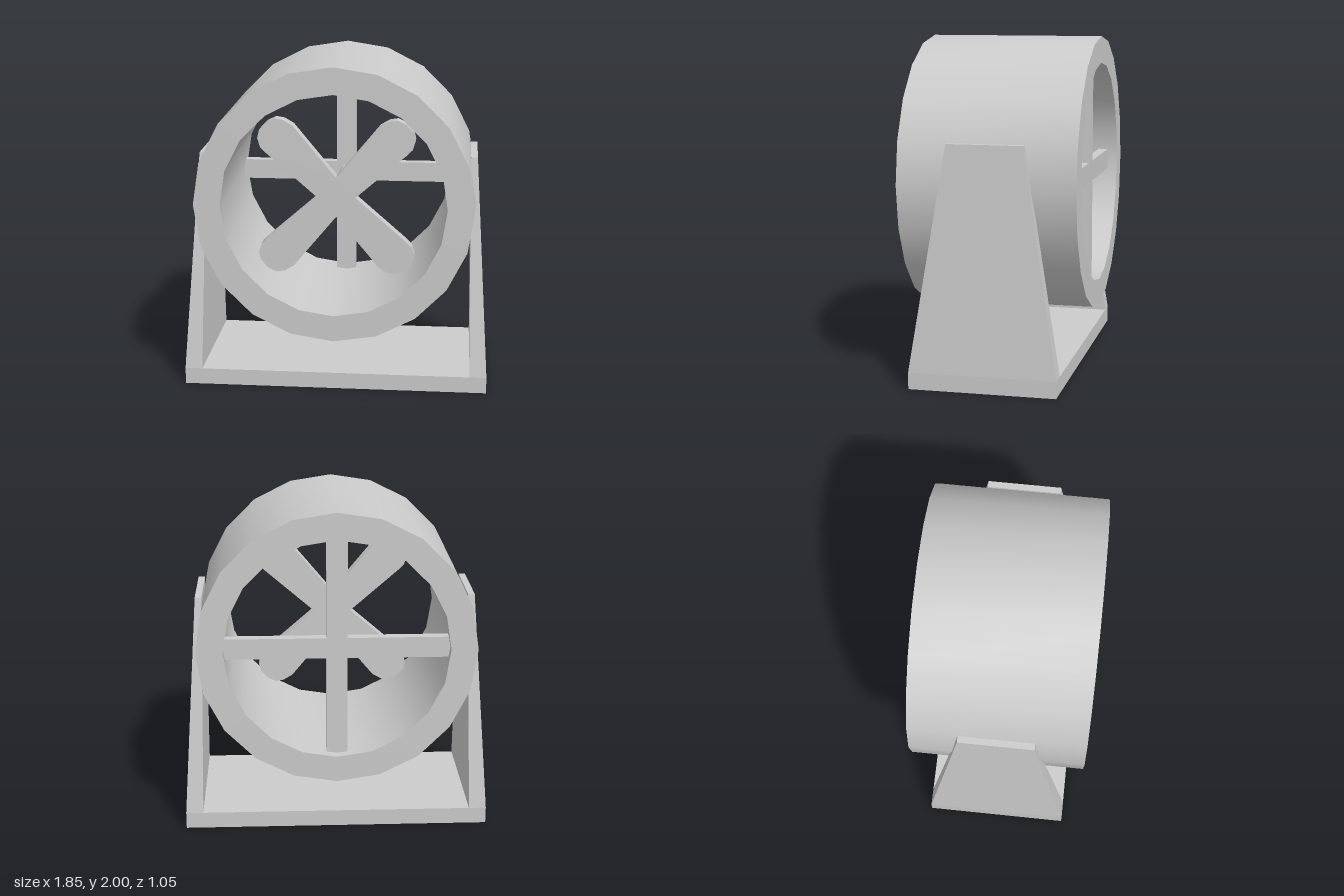
import * as THREE from 'three';
import { toCreasedNormals } from 'three/addons/utils/BufferGeometryUtils.js';

const material = new THREE.MeshStandardMaterial({ color: 0xcccccc });
const AXIS_Y = 1.17;

function addMesh(parent, name, geometry, crease = 0.5) {
  const mesh = new THREE.Mesh(toCreasedNormals(geometry, crease), material);
  mesh.name = name;
  parent.add(mesh);
  return mesh;
}

// Box whose vertices are moved by a rule
function shapedBox(rule) {
  const geometry = new THREE.BoxGeometry(1, 1, 1);
  const pos = geometry.attributes.position;
  for (let i = 0; i < pos.count; i++) {
    pos.setXYZ(i, ...rule(pos.getX(i), pos.getY(i), pos.getZ(i)));
  }
  return geometry;
}

// Extrude an outline and place its back at z
function plate(points, depth, z) {
  const shape = new THREE.Shape(points);
  const geometry = new THREE.ExtrudeGeometry(shape, { depth, bevelEnabled: false });
  return geometry.translate(0, 0, z);
}

export function createModel() {
  const model = new THREE.Group();
  model.name = 'fan';

  // Base slab and the two tapered side supports
  const base = addMesh(model, 'base', new THREE.BoxGeometry(1.85, 0.1, 0.87));
  base.position.y = 0.05;
  for (const side of [1, -1]) {
    const support = shapedBox((x, y, z) => {
      const top = y > 0;
      const outward = x * side > 0;
      const px = outward ? (top ? 0.84 : 0.925) : (top ? 0.8 : 0.82);
      return [side * px, top ? 1.42 : 0.1, Math.sign(z) * (top ? 0.225 : 0.435)];
    });
    addMesh(model, side > 0 ? 'leftSupport' : 'rightSupport', support, 0.02);
  }

  // Round housing: a 20-sided tube with thick walls
  const profile = [
    [0.67, 0.525], [0.67, -0.525], [0.83, -0.525], [0.83, 0.525], [0.67, 0.525],
  ].map(([r, h]) => new THREE.Vector2(r, h));
  const housing = addMesh(model, 'housing', new THREE.LatheGeometry(profile, 20).rotateX(Math.PI / 2));
  housing.position.y = AXIS_Y;

  // Four blades, widening to rounded tips, in one outline
  const blade = [
    [0.116, 0], [0.42, 0.265], [0.455, 0.3], [0.472, 0.355], [0.46, 0.405], [0.415, 0.452],
    [0.365, 0.475], [0.315, 0.467], [0.26, 0.435],
  ];
  const tips = blade.slice(1);
  const mirror = (sx, sy) => tips.map(([x, y]) => [x * sx, y * sy]);
  const outline = [
    [0.116, 0], ...tips,
    [0, 0.12], ...mirror(-1, 1).reverse(),
    [-0.116, 0], ...mirror(-1, -1),
    [0, -0.12], ...mirror(1, -1).reverse(),
  ].map(([x, y]) => new THREE.Vector2(x, y));
  const blades = addMesh(model, 'blades', plate(outline, 0.08, 0.24));
  blades.position.y = AXIS_Y + 0.01;

  // Rear cross brace
  const w = 0.0625;
  const l = 0.675;
  const cross = [
    [w, w], [w, l], [-w, l], [-w, w], [-l, w], [-l, -w],
    [-w, -w], [-w, -l], [w, -l], [w, -w], [l, -w], [l, w],
  ].map(([x, y]) => new THREE.Vector2(x, y));
  const brace = addMesh(model, 'rearBrace', plate(cross, 0.06, -0.465));
  brace.position.y = AXIS_Y;

  // Shaft joining the brace and the blades
  const shaft = addMesh(model, 'shaft', new THREE.CylinderGeometry(0.04, 0.04, 0.66, 12).rotateX(Math.PI / 2), 0.7);
  shaft.position.set(0, AXIS_Y, -0.08);

  return model;
}
